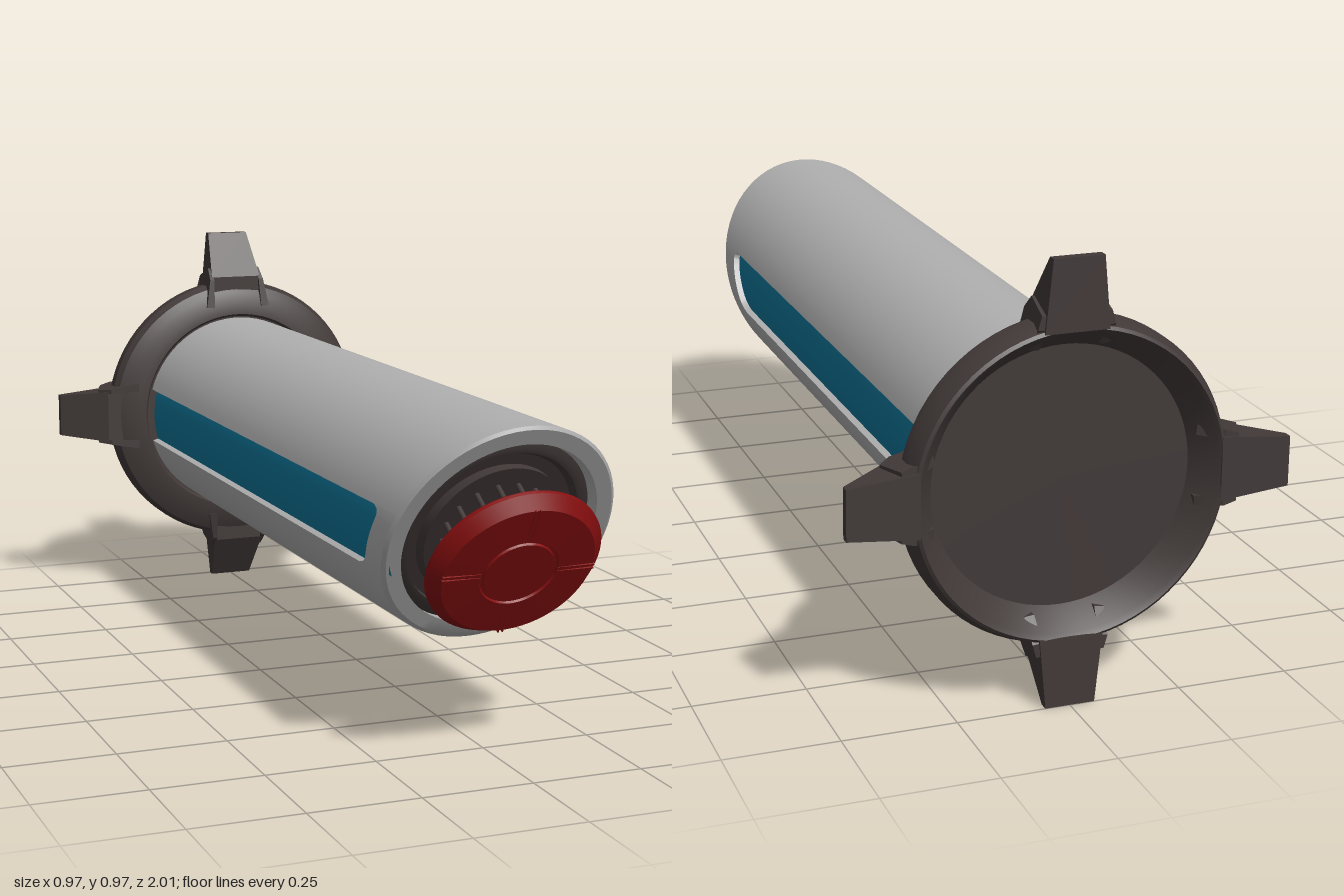
import * as THREE from 'three';
import { toCreasedNormals } from 'three/addons/utils/BufferGeometryUtils.js';

const AXIS_Y = 0.485;   // height of the tube's centre line
const R = 0.258;        // outer shell radius
const SLOPE = 0.6;      // slant of the front cut (z per y)
const CUT_Z = 0.82;     // cut position on the centre line
const SLOTS = [0, Math.PI, Math.PI * 1.5];
const SLOT_HALF = 0.278;

const material = (name, color, side = THREE.FrontSide) => {
  const m = new THREE.MeshStandardMaterial({ color, side });
  m.name = name;
  return m;
};

// Lathe turned about z; profile points are [radius, z] from back to front
function turned(profile, segments = 64, crease = 0.5) {
  const g = new THREE.LatheGeometry(profile.map(([r, z]) => new THREE.Vector2(r, z)), segments);
  g.rotateX(Math.PI / 2);
  return toCreasedNormals(g, crease);
}

// Slanted tube wall with three long slots open at the back
function shellGeometry() {
  const columns = [];
  const slotEnd = (a, t) => {
    const u = Math.max(0, (Math.abs(t) - 0.6) / 0.4);
    return CUT_Z - 0.095 + SLOPE * R * Math.sin(a) - 0.035 * (1 - Math.sqrt(Math.max(0, 1 - u * u)));
  };
  SLOTS.forEach((c, i) => {
    for (let k = 0; k <= 20; k++) {
      const t = k / 10 - 1, a = c + t * SLOT_HALF;
      columns.push([a, slotEnd(a, t)]);
    }
    const from = c + SLOT_HALF;
    const to = (i < 2 ? SLOTS[i + 1] : Math.PI * 2) - SLOT_HALF;
    const n = Math.ceil((to - from) / 0.09);
    for (let k = 0; k <= n; k++) columns.push([from + (to - from) * k / n, -0.9]);
  });
  const position = [], index = [], P = 5;
  for (const [a, back] of columns) {
    const put = (r, z) => position.push(r * Math.cos(a), r * Math.sin(a), z);
    const cut = r => CUT_Z + SLOPE * r * Math.sin(a);
    put(R, back);
    put(R, cut(R) - 0.008);
    put(R - 0.008, cut(R - 0.008));
    put(0.217, cut(0.217));
    put(0.217, back);
  }
  const N = columns.length;
  for (let i = 0; i < N; i++) {
    for (let j = 0; j < P; j++) {
      const i2 = (i + 1) % N, j2 = (j + 1) % P;
      const a = i * P + j, b = i2 * P + j, c = i2 * P + j2, d = i * P + j2;
      index.push(a, b, c, a, c, d);
    }
  }
  const g = new THREE.BufferGeometry();
  g.setAttribute('position', new THREE.Float32BufferAttribute(position, 3));
  g.setIndex(index);
  return toCreasedNormals(g, 0.5);
}

// Side profile [radius, z] extruded across x, its half width set by radius
function legGeometry(profile, halfWidth) {
  const shape = new THREE.Shape(profile.map(([r, z]) => new THREE.Vector2(r, z)));
  const g = new THREE.ExtrudeGeometry(shape, { depth: 2, bevelEnabled: false });
  const p = g.attributes.position;
  for (let i = 0; i < p.count; i++) {
    const r = p.getX(i), z = p.getY(i), side = p.getZ(i) - 1;
    p.setXYZ(i, side * halfWidth(r), r, z);
  }
  g.computeVertexNormals();
  return g;
}

export function createModel() {
  const grey = material('light grey', 0xb0b0b0);
  const dark = material('dark charcoal', 0x413938);
  const blue = material('blue', 0x0f7599, THREE.DoubleSide);
  const red = material('red', 0x860e0f);

  const model = new THREE.Group();
  const body = new THREE.Group();
  body.name = 'body';
  body.position.y = AXIS_Y;
  model.add(body);
  const add = (parent, name, geometry, mat) => {
    const mesh = new THREE.Mesh(geometry, mat);
    mesh.name = name;
    parent.add(mesh);
    return mesh;
  };

  add(body, 'tubeShell', shellGeometry(), grey);

  // Blue strips recessed in the slots
  for (const a of SLOTS) {
    const half = SLOT_HALF + 0.03;
    const length = a > 4 ? 1.52 : 1.69;
    const g = new THREE.CylinderGeometry(0.243, 0.243, length, 12, 1, true, Math.PI / 2 - half, 2 * half);
    g.rotateX(Math.PI / 2);
    g.translate(0, 0, -0.9 + length / 2);
    g.rotateZ(a);
    add(body, 'sideStrip', g, blue);
  }

  // Stepped plug in the mouth, sheared to follow the slanted cut
  const plug = turned([[0.22, -0.2], [0.22, -0.045], [0.2, -0.035], [0.19, -0.035], [0.185, -0.06],
    [0.16, -0.06], [0.155, -0.03], [0, -0.03]]);
  const pp = plug.attributes.position;
  for (let i = 0; i < pp.count; i++) pp.setZ(i, pp.getZ(i) + CUT_Z + SLOPE * pp.getY(i));
  plug.deleteAttribute('normal');
  add(body, 'mouthPlug', toCreasedNormals(plug, 0.5), dark);

  // Push button, square to the slanted cut
  const button = new THREE.Group();
  button.name = 'button';
  button.position.z = CUT_Z;
  button.rotation.x = Math.atan(SLOPE);
  body.add(button);
  add(button, 'buttonCap', turned([[0, 0.07], [0.19, 0.07], [0.195, 0.076], [0.195, 0.084],
    [0.17, 0.11], [0.088, 0.113], [0.086, 0.108], [0.08, 0.108], [0.078, 0.113], [0, 0.113]], 64, 0.3), red);
  for (let i = 0; i < 4; i++) {
    for (const s of [-1, 1]) {
      const rib = new THREE.BoxGeometry(0.085, 0.003, 0.006);
      rib.translate(0.13, s * 0.005, 0.111);
      rib.rotateZ(i * Math.PI / 2);
      add(button, 'buttonRib', rib, red);
    }
  }
  add(button, 'buttonStem', turned([[0.06, -0.06], [0.06, 0.075]], 32), dark);
  for (let i = 0; i < 16; i++) {
    const a = (i + 0.5) * Math.PI / 8;
    const rod = new THREE.CylinderGeometry(0.006, 0.006, 0.13, 8);
    rod.rotateX(Math.PI / 2);
    rod.translate(0.12 * Math.cos(a), 0.12 * Math.sin(a), 0.01);
    add(button, 'buttonRod', rod, dark);
  }

  // Round base with a dished back
  add(body, 'basePlate', turned([[0, -0.93], [0.285, -0.93], [0.325, -0.99], [0.335, -1], [0.342, -0.995],
    [0.355, -0.96], [0.355, -0.93], [0.345, -0.912], [0.325, -0.902], [0.29, -0.89], [0.268, -0.888],
    [0.262, -0.896], [0.2, -0.896]], 72), dark);

  // Four tapered legs with raised cheeks
  const leg = legGeometry([[0.33, -1], [0.485, -1], [0.485, -0.98], [0.37, -0.907], [0.33, -0.907]],
    r => r < 0.36 ? 0.07 : 0.069 - (r - 0.37) * 0.122);
  const cheek = legGeometry([[0.29, -0.96], [0.34, -0.995], [0.37, -0.995], [0.395, -0.93],
    [0.365, -0.9], [0.29, -0.888]], r => r < 0.35 ? 0.011 : 0.006);
  for (let i = 0; i < 4; i++) {
    const foot = new THREE.Group();
    foot.name = 'leg';
    foot.rotation.z = i * Math.PI / 2;
    body.add(foot);
    add(foot, 'legArm', leg, dark);
    for (const s of [-1, 1]) {
      const c = add(foot, 'legCheek', cheek, dark);
      c.position.x = s * (0.074 + 0.0363);
      c.rotation.z = s * 0.11;
    }
  }
  return model;
}
